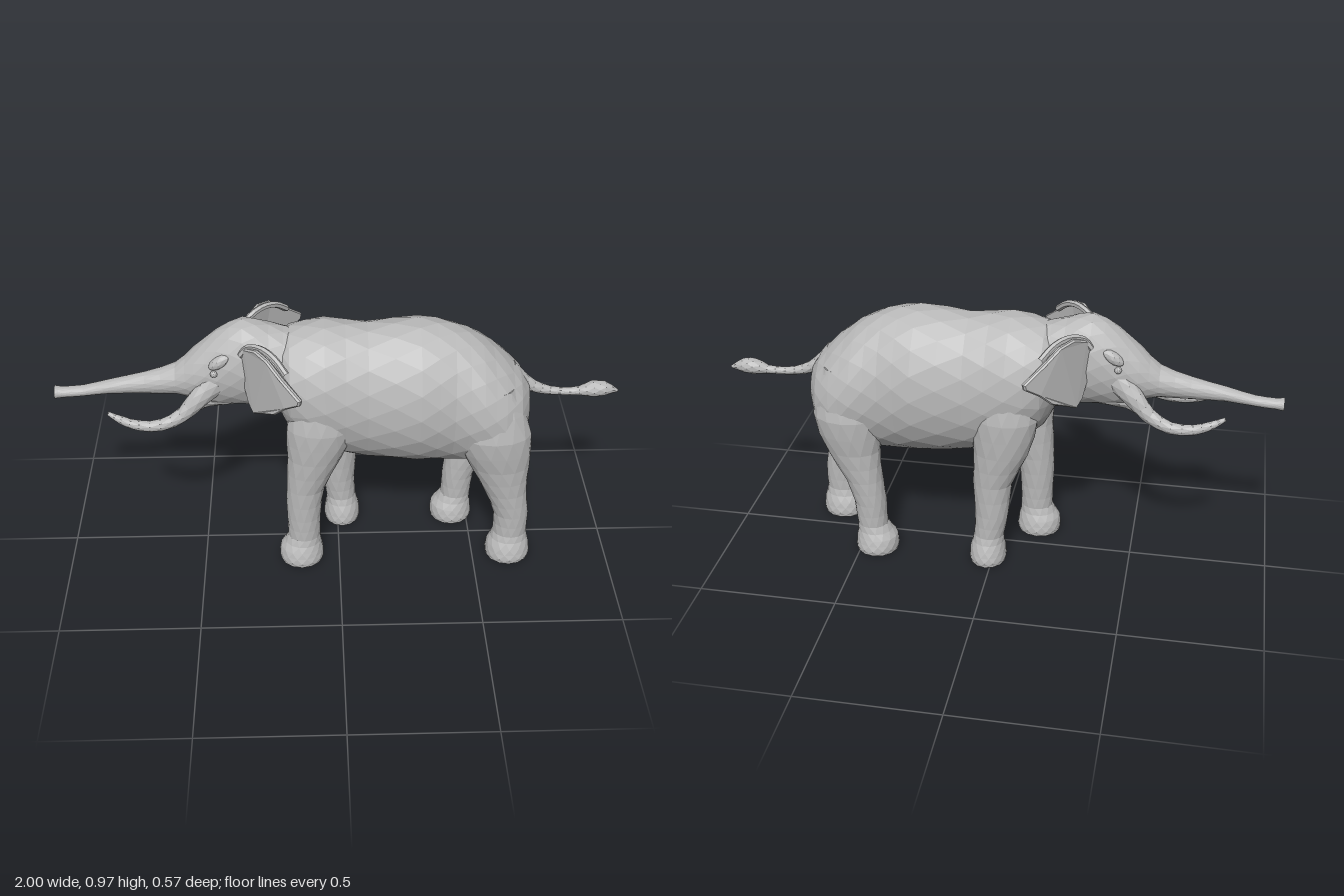
import * as THREE from 'three';

const skin = new THREE.MeshStandardMaterial({ color: 0xb9b9b9, flatShading: true });
skin.name = 'grey skin';

const X_AXIS = new THREE.Vector3(1, 0, 0);
const BACK_X = new THREE.Vector3(-1, 0, 0);
const DOWN = new THREE.Vector3(0, -1, 0);
const Z = new THREE.Vector3(0, 0, 1);

// Loft through oval sections [x, y, z, radius in the xy plane, radius along z].
// With an axis all rings are parallel; without one they follow the path.
function loft(sections, axis = null, sides = 14, sub = 2) {
  const curve = new THREE.CatmullRomCurve3(sections.map(s => new THREE.Vector3(s[0], s[1], s[2])));
  const sizes = new THREE.CatmullRomCurve3(sections.map(s => new THREE.Vector3(s[3], s[4], 0)));
  const n = (sections.length - 1) * sub;
  const pos = [], index = [];
  for (let i = 0; i <= n; i++) {
    const t = i / n;
    const c = curve.getPoint(t), r = sizes.getPoint(t);
    const dir = axis ? axis.clone() : curve.getTangent(t);
    const v = dir.cross(Z).normalize();
    for (let j = 0; j < sides; j++) {
      const a = ((j + (i % 2) * 0.5) / sides) * Math.PI * 2;
      const p = c.clone().addScaledVector(v, Math.sin(a) * r.x).addScaledVector(Z, Math.cos(a) * r.y);
      pos.push(p.x, p.y, p.z);
    }
  }
  for (let i = 0; i < n; i++) {
    for (let j = 0; j < sides; j++) {
      const k = (j + 1) % sides;
      const a = i * sides + j, b = i * sides + k, c = a + sides, d = b + sides;
      if (i % 2) index.push(a, b, d, a, d, c);
      else index.push(a, b, c, b, d, c);
    }
  }
  // end caps
  const first = sections[0], last = sections[sections.length - 1];
  const s = pos.length / 3;
  pos.push(first[0], first[1], first[2], last[0], last[1], last[2]);
  for (let j = 0; j < sides; j++) {
    const k = (j + 1) % sides;
    index.push(s, k, j, s + 1, n * sides + j, n * sides + k);
  }
  const g = new THREE.BufferGeometry();
  g.setAttribute('position', new THREE.Float32BufferAttribute(pos, 3));
  g.setIndex(index);
  g.computeVertexNormals();
  return g;
}

// Leg sections are [x, y, radius x, radius z, z]; the foot flares out at the end.
function legGeometry(upper, footX, footR, side) {
  const foot = [
    [footX, 0.06, footR * 0.94, 0.072, 0.118],
    [footX, 0.02, footR, 0.081, 0.119],
    [footX, 0, footR * 0.95, 0.076, 0.119],
  ];
  return loft([...upper, ...foot].map(([x, y, rx, rz, z]) => [x, y, z * side, rx, rz]), DOWN);
}

// Ear: slightly cupped plate swept out and back from the head.
function earGeometry() {
  const outline = [[-0.02, 0.87], [0.02, 0.915], [0.08, 0.937], [0.14, 0.925], [0.2, 0.88], [0.28, 0.82],
    [0.275, 0.8], [0.22, 0.765], [0.17, 0.72], [0.1, 0.69], [0.06, 0.67], [0.03, 0.7], [0, 0.78]];
  const shape = new THREE.Shape(outline.map(p => new THREE.Vector2(...p)));
  const g = new THREE.ExtrudeGeometry(shape, {
    depth: 0.008, bevelEnabled: true, bevelThickness: 0.006, bevelSize: 0.005, bevelOffset: -0.005, bevelSegments: 1,
  });
  const p = g.attributes.position;
  for (let i = 0; i < p.count; i++) {
    p.setZ(i, p.getZ(i) + 0.015 * Math.sin(p.getX(i) * 11));
  }
  g.rotateY(-Math.PI / 4);
  g.translate(-0.325, 0, 0.082);
  return g;
}

// Folded rim along the top of the ear
function rimGeometry() {
  const path = new THREE.CatmullRomCurve3([[-0.335, 0.88, 0.09], [-0.31, 0.915, 0.1],
    [-0.265, 0.933, 0.135], [-0.22, 0.92, 0.175], [-0.18, 0.88, 0.215]].map(p => new THREE.Vector3(...p)));
  return new THREE.TubeGeometry(path, 10, 0.012, 6);
}

export function createModel() {
  const model = new THREE.Group();
  model.name = 'elephant';
  const add = (name, geometry) => {
    const mesh = new THREE.Mesh(geometry, skin);
    mesh.name = name;
    model.add(mesh);
    return mesh;
  };

  add('body', loft([
    [-0.21, 0.755, 0, 0.145, 0.11], [-0.17, 0.73, 0, 0.195, 0.165], [-0.05, 0.7, 0, 0.25, 0.195],
    [0.1, 0.672, 0, 0.262, 0.185], [0.28, 0.672, 0, 0.277, 0.208], [0.4, 0.658, 0, 0.268, 0.192],
    [0.5, 0.633, 0, 0.243, 0.203], [0.58, 0.605, 0, 0.208, 0.19], [0.64, 0.595, 0, 0.16, 0.15],
    [0.675, 0.61, 0, 0.09, 0.08],
  ], X_AXIS, 18));

  // Head running forward into the raised trunk
  add('headAndTrunk', loft([
    [-0.14, 0.75, 0, 0.165, 0.12], [-0.24, 0.78, 0, 0.165, 0.115], [-0.33, 0.8, 0, 0.168, 0.108],
    [-0.42, 0.777, 0, 0.146, 0.095], [-0.5, 0.755, 0, 0.1, 0.08], [-0.57, 0.733, 0, 0.058, 0.055],
    [-0.68, 0.715, 0, 0.04, 0.037], [-0.8, 0.702, 0, 0.026, 0.028], [-0.9, 0.685, 0, 0.019, 0.023],
    [-0.97, 0.68, 0, 0.019, 0.022], [-1, 0.68, 0, 0.023, 0.026],
  ], BACK_X, 16));

  add('lowerJaw', loft([
    [-0.32, 0.7, 0, 0.06, 0.07], [-0.41, 0.675, 0, 0.05, 0.06], [-0.47, 0.648, 0, 0.032, 0.045],
    [-0.51, 0.61, 0, 0.02, 0.028], [-0.53, 0.585, 0, 0.008, 0.012],
  ], null, 10));

  for (const side of [1, -1]) {
    const label = side > 0 ? 'near' : 'far';
    add(label + 'Tusk', loft([
      [-0.42, 0.76, 0.06, 0.045, 0.035], [-0.49, 0.7, 0.083, 0.036, 0.032], [-0.545, 0.645, 0.1, 0.027, 0.025],
      [-0.62, 0.614, 0.118, 0.022, 0.021], [-0.7, 0.616, 0.122, 0.019, 0.018],
      [-0.76, 0.637, 0.117, 0.015, 0.015], [-0.805, 0.66, 0.107, 0.007, 0.007],
    ].map(([x, y, z, a, b]) => [x, y, z * side, a, b]), null, 9));

    // Brow ridge and eye
    const brow = new THREE.IcosahedronGeometry(1, 1).scale(0.045, 0.022, 0.022);
    add(label + 'Brow', brow.rotateZ(0.6).translate(-0.41, 0.845, side * 0.078));
    add(label + 'Eye', new THREE.IcosahedronGeometry(0.013, 1).translate(-0.43, 0.805, side * 0.09));
  }

  // Ears, mirrored by turning the corners of each triangle
  for (const [name, make] of [['Ear', earGeometry], ['EarRim', rimGeometry]]) {
    add('near' + name, make());
    let g = make();
    if (g.index) g = g.toNonIndexed();
    g.scale(1, 1, -1);
    const p = g.attributes.position;
    for (let i = 0; i < p.count; i += 3) {
      const b = new THREE.Vector3().fromBufferAttribute(p, i + 1);
      const c = new THREE.Vector3().fromBufferAttribute(p, i + 2);
      p.setXYZ(i + 1, c.x, c.y, c.z);
      p.setXYZ(i + 2, b.x, b.y, b.z);
    }
    g.computeVertexNormals();
    add('far' + name, g);
  }

  // Legs in mid stride
  add('nearFrontLeg', legGeometry([
    [-0.06, 0.74, 0.085, 0.06, 0.11], [-0.065, 0.6, 0.122, 0.083, 0.115], [-0.088, 0.47, 0.098, 0.075, 0.115],
    [-0.122, 0.33, 0.07, 0.062, 0.115], [-0.13, 0.2, 0.062, 0.057, 0.117], [-0.13, 0.11, 0.06, 0.055, 0.118],
  ], -0.14, 0.083, 1));
  add('farFrontLeg', legGeometry([
    [-0.05, 0.74, 0.085, 0.06, 0.11], [-0.045, 0.6, 0.118, 0.083, 0.115], [-0.03, 0.46, 0.1, 0.075, 0.115],
    [0, 0.33, 0.072, 0.062, 0.115], [0.003, 0.2, 0.062, 0.057, 0.117], [0.013, 0.11, 0.056, 0.055, 0.118],
  ], 0.017, 0.069, -1));
  add('nearHindLeg', legGeometry([
    [0.53, 0.74, 0.08, 0.06, 0.1], [0.545, 0.56, 0.137, 0.092, 0.113], [0.577, 0.42, 0.108, 0.073, 0.117],
    [0.607, 0.3, 0.077, 0.062, 0.118], [0.633, 0.2, 0.065, 0.057, 0.118], [0.635, 0.11, 0.063, 0.055, 0.118],
  ], 0.632, 0.084, 1));
  add('farHindLeg', legGeometry([
    [0.53, 0.74, 0.08, 0.06, 0.1], [0.53, 0.56, 0.125, 0.092, 0.113], [0.515, 0.42, 0.1, 0.073, 0.117],
    [0.48, 0.3, 0.07, 0.062, 0.118], [0.46, 0.2, 0.06, 0.057, 0.118], [0.455, 0.11, 0.057, 0.055, 0.118],
  ], 0.44, 0.081, -1));

  // Tail with a tuft at the end
  add('tail', loft([
    [0.6, 0.75, 0, 0.035, 0.04], [0.66, 0.695, 0, 0.026, 0.03], [0.72, 0.663, 0, 0.019, 0.02],
    [0.79, 0.65, 0, 0.014, 0.015], [0.86, 0.65, 0, 0.016, 0.017], [0.91, 0.658, 0, 0.03, 0.032],
    [0.95, 0.658, 0, 0.027, 0.027], [1, 0.648, 0, 0.004, 0.005],
  ], null, 9));

  return model;
}
